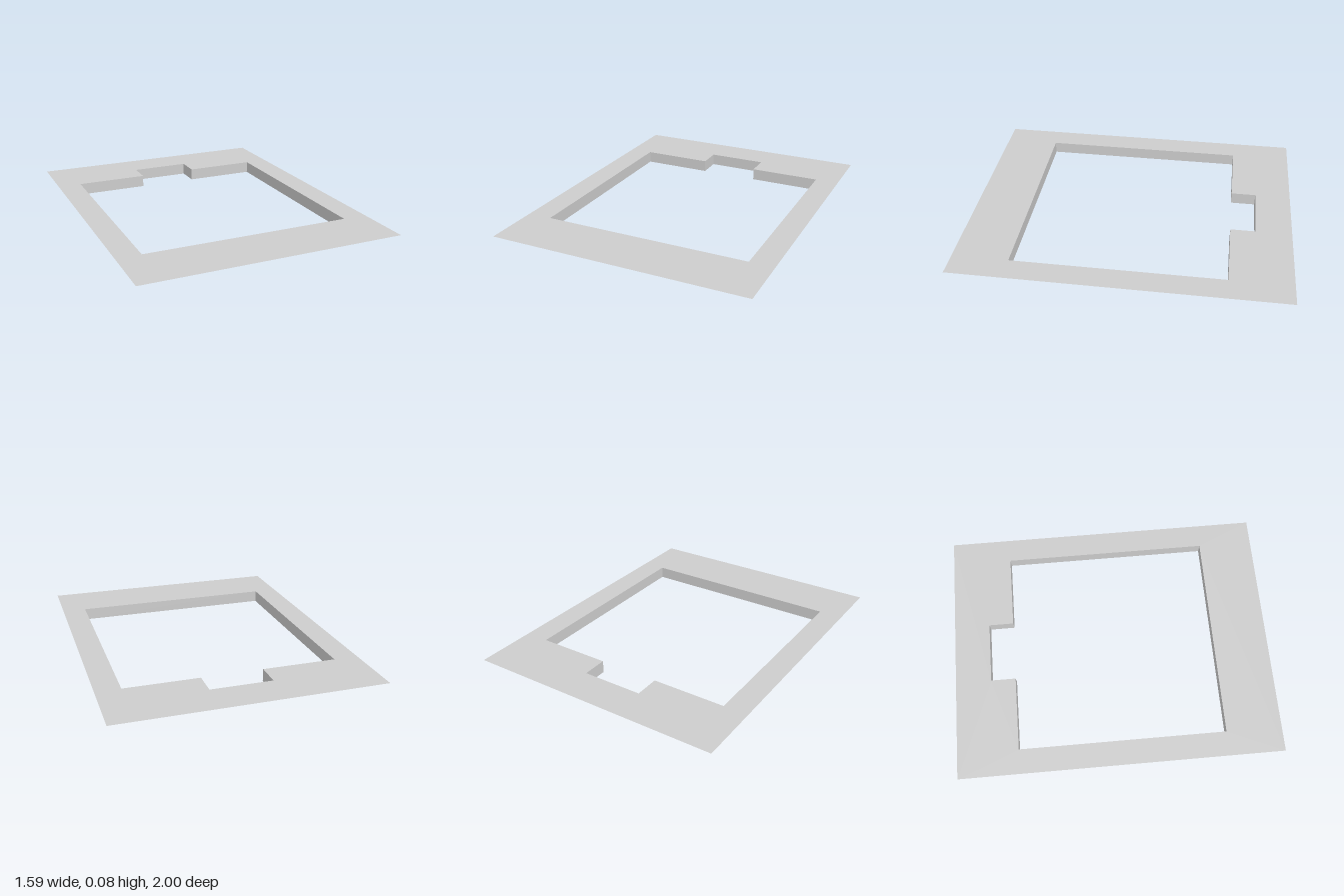
import * as THREE from 'three';

const TOP = 0.076; // height of the flange above the ground

// Opening outline as [x, z], with a notch in the back edge
const OPENING = [
  [-0.643, 0.656], [0.643, 0.656], [0.643, -0.624], [0.188, -0.624],
  [0.188, -0.778], [-0.188, -0.778], [-0.188, -0.624], [-0.643, -0.624],
];
const OUTER = [[-0.793, 1], [0.793, 1], [0.793, -1], [-0.793, -1]];

const toPoints = (outline) => outline.map(([x, z]) => new THREE.Vector2(x, -z));

export function createModel() {
  const model = new THREE.Group();
  model.name = 'notchedFrame';
  const grey = new THREE.MeshStandardMaterial({ color: 0xcccccc, side: THREE.DoubleSide });
  grey.name = 'lightGrey';

  // Thin flat flange around the opening
  const shape = new THREE.Shape(toPoints(OUTER));
  shape.holes.push(new THREE.Path(toPoints(OPENING)));
  const flange = new THREE.Mesh(new THREE.ShapeGeometry(shape).rotateX(-Math.PI / 2), grey);
  flange.name = 'flange';
  flange.position.y = TOP;
  model.add(flange);

  // Thin walls hanging from the edge of the opening, facing inwards
  const walls = new THREE.Group();
  walls.name = 'openingWalls';
  OPENING.forEach(([x0, z0], i) => {
    const [x1, z1] = OPENING[(i + 1) % OPENING.length];
    const dx = x1 - x0, dz = z1 - z0;
    const wall = new THREE.Mesh(new THREE.PlaneGeometry(Math.hypot(dx, dz), TOP), grey);
    wall.name = 'openingWall';
    wall.position.set((x0 + x1) / 2, TOP / 2, (z0 + z1) / 2);
    wall.rotation.y = Math.atan2(dz, -dx);
    walls.add(wall);
  });
  model.add(walls);
  return model;
}
